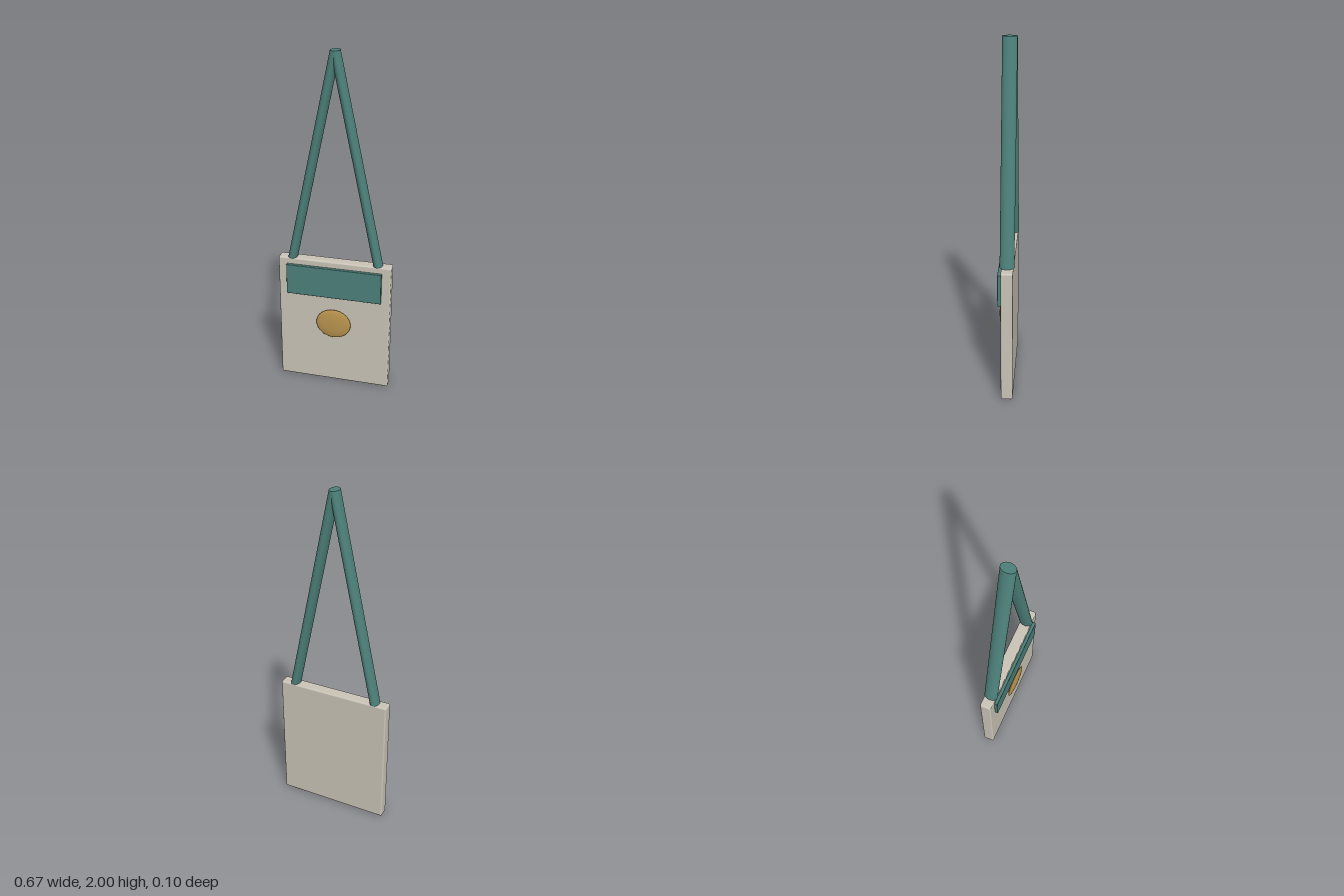
import * as THREE from 'three';
import { RoundedBoxGeometry } from 'three/addons/geometries/RoundedBoxGeometry.js';

export function createModel() {
  const model = new THREE.Group();
  model.name = 'lanyardBadge';

  const material = (name, color) => {
    const m = new THREE.MeshStandardMaterial({ color });
    m.name = name;
    return m;
  };
  const cream = material('cream', 0xcbc5b8);
  const teal = material('teal', 0x4d807a);
  const gold = material('gold', 0xbb954f);

  const add = (name, geometry, mat, x = 0, y = 0, z = 0) => {
    const mesh = new THREE.Mesh(geometry, mat);
    mesh.name = name;
    mesh.position.set(x, y, z);
    model.add(mesh);
    return mesh;
  };

  // Card body with softly rounded edges
  add('card', new RoundedBoxGeometry(0.666, 0.8, 0.067, 3, 0.009), cream, 0, 0.4, -0.012);

  // Raised header band on the front
  add('headerBand', new RoundedBoxGeometry(0.562, 0.188, 0.02, 2, 0.003), teal, 0, 0.67, 0.032);

  // Domed oval medallion
  const dome = new THREE.SphereGeometry(1, 40, 24).rotateX(Math.PI / 2).scale(0.104, 0.093, 0.0145);
  add('medallion', dome, gold, 0, 0.402, 0.0335);

  // Straps: oval columns sheared inward so both ends stay level and meet at the top
  const bottom = 0.8, height = 1.2, spread = 0.252;
  for (const [name, side] of [['leftStrap', 1], ['rightStrap', -1]]) {
    const strap = new THREE.CylinderGeometry(1, 1, 1, 40);
    strap.applyMatrix4(new THREE.Matrix4().set(
      0.027, -side * spread, 0, side * spread / 2,
      0, height, 0, bottom + height / 2,
      0, 0, 0.04, -0.01,
      0, 0, 0, 1
    ));
    add(name, strap, teal);
  }

  return model;
}
